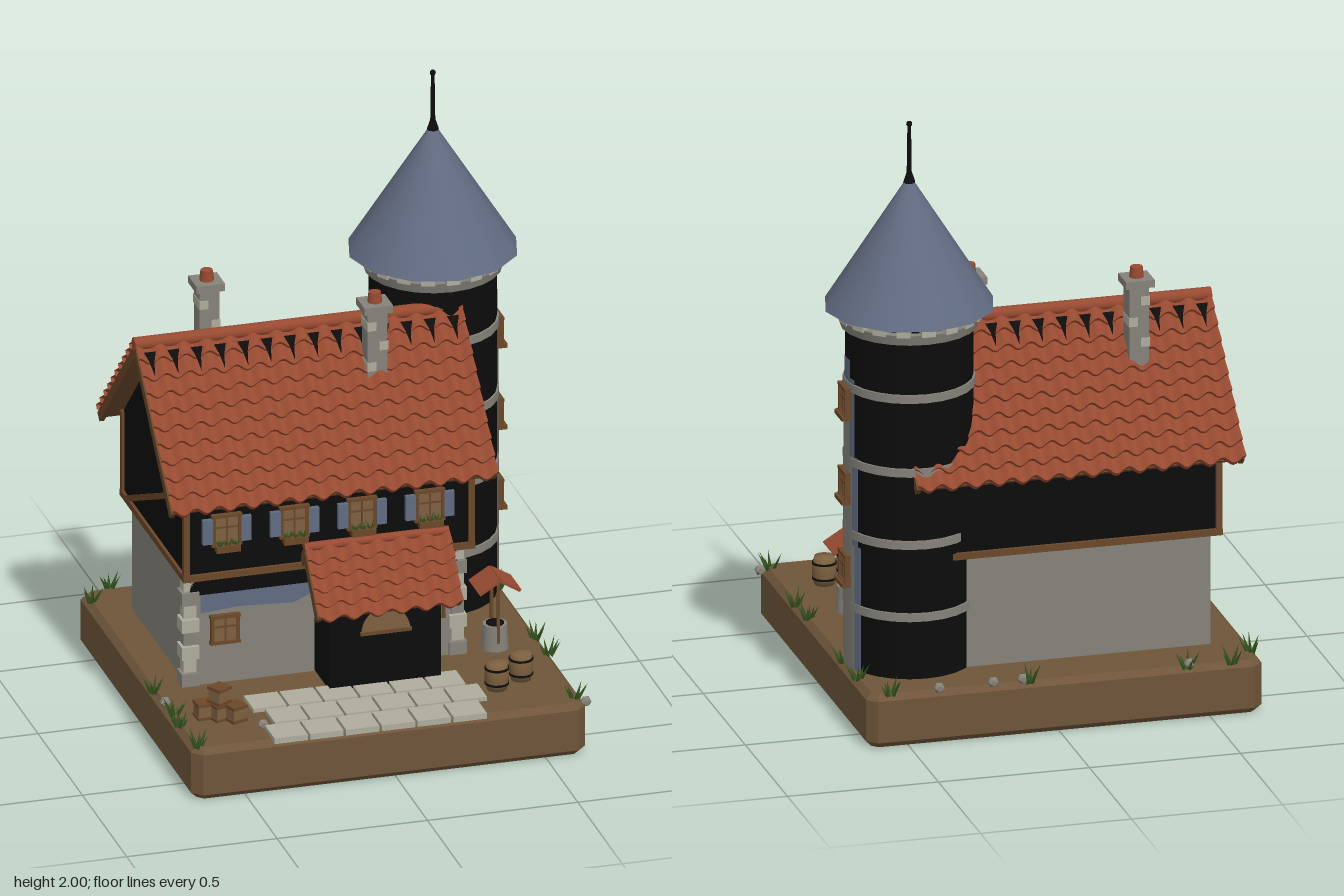
import * as THREE from 'three';

const mat = (name, color, side = THREE.FrontSide) =>
  Object.assign(new THREE.MeshStandardMaterial({ color, side }), { name });
const M = {
  black: mat('dark plaster', 0x0c0c0c),
  stone: mat('stone', 0x85827a, THREE.DoubleSide),
  pale: mat('pale stone', 0xaeac9c),
  red: mat('roof tile', 0x984a31, THREE.DoubleSide),
  slate: mat('slate', 0x616b81, THREE.DoubleSide),
  wood: mat('timber', 0x6a4729),
  tan: mat('light wood', 0x7d6040),
  earth: mat('earth', 0x6e553a),
  leaf: mat('leaf', 0x35551f, THREE.DoubleSide),
};

function add(parent, name, geo, material, x = 0, y = 0, z = 0) {
  const m = new THREE.Mesh(geo, material);
  m.name = name;
  m.position.set(x, y, z);
  parent.add(m);
  return m;
}
const box = (p, name, m, w, h, d, x, y, z) => add(p, name, new THREE.BoxGeometry(w, h, d), m, x, y, z);
const cyl = (p, name, m, r1, r2, h, x, y, z, n = 16) => add(p, name, new THREE.CylinderGeometry(r1, r2, h, n), m, x, y, z);
const shapeOf = pts => new THREE.Shape(pts.map(([x, y]) => new THREE.Vector2(x, y)));
const plate = (p, name, m, pts, x, y, z) => add(p, name, new THREE.ShapeGeometry(shapeOf(pts)), m, x, y, z);
function group(parent, name, x = 0, y = 0, z = 0) {
  const g = new THREE.Group();
  g.name = name;
  g.position.set(x, y, z);
  parent.add(g);
  return g;
}

// Wavy courses of tiles running down +z from the ridge, each lapping the next
function tileGeometry(width, length, cols, rows) {
  const pos = [], idx = [], n = cols * 8, step = length / rows;
  for (let r = 0; r < rows; r++) {
    const start = pos.length / 3;
    for (let line = 0; line < 4; line++)
      for (let i = 0; i <= n; i++) {
        const wave = Math.cos((i / 8) * Math.PI * 2);
        const z = line === 0 ? r * step : (r + 1) * step + 0.006 - 0.007 * wave;
        const y = 0.009 * wave + [0.008, 0.022, 0.022, 0.004][line];
        pos.push((i / n - 0.5) * width, y, z);
      }
    for (const a of [0, 2])
      for (let i = 0; i < n; i++) {
        const p = start + a * (n + 1) + i, q = p + n + 1;
        idx.push(p, q, p + 1, p + 1, q, q + 1);
      }
  }
  const g = new THREE.BufferGeometry();
  g.setAttribute('position', new THREE.Float32BufferAttribute(pos, 3));
  g.setIndex(idx);
  g.computeVertexNormals();
  return g;
}

function roofSlope(parent, width, length, cols, rows, angle, back) {
  const turn = group(parent, back ? 'backSlope' : 'frontSlope');
  turn.rotation.y = back ? Math.PI : 0;
  const s = group(turn, 'slope');
  s.rotation.x = angle;
  add(s, 'tiles', tileGeometry(width, length, cols, rows), M.red);
  box(s, 'roofBoards', M.wood, width - 0.02, 0.012, length - 0.01, 0, -0.012, length / 2);
  for (const e of [-1, 1]) box(s, 'bargeBoard', M.wood, 0.016, 0.032, length, e * (width / 2 - 0.008), -0.012, length / 2);
  return s;
}

// Cross-barred window facing +z
function windowUnit(parent, w, h, x, y, z) {
  const g = group(parent, 'window', x, y, z);
  box(g, 'pane', M.tan, w, h, 0.012, 0, 0, 0);
  for (const s of [-1, 1]) {
    box(g, 'jamb', M.wood, 0.01, h + 0.01, 0.024, s * w / 2, 0, 0);
    box(g, 'rail', M.wood, w + 0.015, 0.01, 0.026, 0, s * h / 2, 0);
  }
  box(g, 'mullion', M.wood, 0.006, h, 0.018, 0, 0, 0);
  box(g, 'transom', M.wood, w, 0.006, 0.018, 0, 0.01, 0);
  return g;
}

function tuft(parent, x, y, z, size, seed) {
  const g = group(parent, 'grassTuft', x, y, z);
  for (let i = 0; i < 6; i++) {
    const a = i * 2.4 + seed, h = size * (0.6 + 0.4 * Math.abs(Math.sin(seed * 3 + i * 1.7)));
    const blade = new THREE.ConeGeometry(size * 0.12, h, 3).translate(0, h / 2, 0);
    add(g, 'blade', blade, M.leaf, Math.cos(a) * size * 0.15, 0, Math.sin(a) * size * 0.15)
      .rotation.set(Math.sin(a) * 0.5, 0, -Math.cos(a) * 0.5);
  }
}

function buildGround(root) {
  const g = group(root, 'ground');
  const a = 0.615, b = 0.635;
  const slab = new THREE.ExtrudeGeometry(shapeOf([[-a, -b], [a, -b], [b, -a], [b, a], [a, b], [-a, b], [-b, a], [-b, -a]]),
    { depth: 0.14, bevelSize: 0.02, bevelThickness: 0.02, bevelSegments: 1 });
  add(g, 'baseSlab', slab.rotateX(-Math.PI / 2), M.earth, -0.02, 0.02, 0);
  for (let r = 0; r < 3; r++)
    for (let i = 0; i < 6; i++)
      box(g, 'pavingStone', M.pale, 0.111, 0.02, 0.109, -0.354 + i * 0.119 + (r === 1 ? 0.036 : 0), 0.184, 0.37 + r * 0.12);
  [[-0.57, -0.645], [-0.42, -0.65], [0.1, -0.645], [0.56, -0.64], [0.62, -0.47], [0.62, 0.12], [0.625, 0.25], [0.61, 0.6],
    [-0.655, -0.56], [-0.665, 0.17], [-0.65, 0.36], [-0.66, 0.45], [-0.65, 0.62], [0.62, -0.3]]
    .forEach(([x, z], i) => tuft(g, x, 0.175, z, 0.065, i));
  [[-0.43, -0.645], [0.12, -0.64], [0.22, -0.645], [0.4, -0.65], [-0.66, 0.28], [-0.41, 0.535], [0.64, 0.615]]
    .forEach(([x, z]) => add(g, 'pebble', new THREE.IcosahedronGeometry(0.019, 0), M.stone, x, x > 0.6 ? 0.17 : 0.188, z));
}

function buildHouse(root) {
  const g = group(root, 'house');
  // Ground floor with worn plaster patches
  box(g, 'stoneWalls', M.stone, 0.9, 0.4, 0.63, -0.1, 0.375, -0.15);
  box(g, 'frontPlaster', M.black, 0.89, 0.07, 0.008, -0.1, 0.53, 0.167);
  plate(g, 'frontUndercoat', M.slate, [[-0.51, 0.43], [-0.38, 0.44], [-0.2, 0.43], [-0.13, 0.46], [-0.13, 0.5], [-0.51, 0.5]], 0, 0, 0.168);
  const right = group(g, 'rightPatches', 0.352, 0, 0);
  right.rotation.y = Math.PI / 2;
  box(right, 'sidePlaster', M.black, 0.62, 0.05, 0.006, 0.15, 0.545, 0);
  plate(right, 'sideUndercoat', M.slate, [[-0.16, 0.18], [-0.1, 0.18], [-0.09, 0.33], [-0.03, 0.4], [0.02, 0.43], [0.03, 0.53], [-0.16, 0.53]], 0, 0, 0.002);
  for (const x of [-0.545, 0.345])
    for (let i = 0; i < 8; i++) {
      const w = i % 2 ? 0.042 : 0.058;
      box(g, 'cornerStone', i % 3 ? M.pale : M.stone, w, 0.044, w, x, 0.205 + i * 0.047, 0.15);
    }
  windowUnit(g, 0.085, 0.09, -0.43, 0.37, 0.172);
  windowUnit(g, 0.06, 0.09, 0.265, 0.37, 0.172);

  // Upper floor and gables in one prism
  const gable = shapeOf([[-0.2, 0.57], [0.5, 0.57], [0.5, 0.86], [0.15, 1.21], [-0.2, 0.86]]);
  add(g, 'upperWalls', new THREE.ExtrudeGeometry(gable, { depth: 0.95, bevelEnabled: false }).rotateY(Math.PI / 2), M.black, -0.568, 0, 0);
  for (const z of [0.2, -0.5]) {
    box(g, 'sillBeam', M.wood, 0.97, 0.022, 0.022, -0.093, 0.573, z);
    box(g, 'eaveBeam', M.wood, 0.97, 0.02, 0.02, -0.093, 0.85, z);
    for (const x of [-0.567, 0.381]) box(g, 'cornerPost', M.wood, 0.02, 0.29, 0.02, x, 0.715, z);
  }
  for (const x of [-0.567, 0.381]) {
    box(g, 'sideSill', M.wood, 0.022, 0.022, 0.7, x, 0.573, -0.15);
    box(g, 'brace', M.wood, 0.02, 0.02, 0.69, x, 0.717, -0.135).rotation.x = -Math.atan2(0.285, 0.63);
  }
  box(g, 'sideShutter', M.slate, 0.02, 0.09, 0.05, 0.388, 0.75, -0.09);
  for (let i = 0; i < 4; i++) {
    const w = windowUnit(g, 0.085, 0.1, -0.435 + i * 0.225, 0.732, 0.205);
    for (const s of [-1, 1]) box(w, 'shutter', M.slate, 0.034, 0.085, 0.016, s * 0.064, 0, 0.006);
    box(w, 'flowerBox', M.wood, 0.08, 0.022, 0.03, 0, -0.058, 0.018);
    for (const s of [-1, 0, 1]) tuft(w, s * 0.026, -0.05, 0.02, 0.032, i + s);
  }

  // Main roof, with gaps between the tiles below the ridge
  const roof = group(g, 'mainRoof', -0.093, 1.245, -0.15);
  for (const back of [false, true]) {
    const s = roofSlope(roof, 1.085, 0.585, 14, 10, Math.PI / 4, back);
    for (let i = 0; i < 14; i++)
      plate(s, 'tileGap', M.black, [[-0.02, 0.035], [0.02, 0.035], [0.008, 0], [0, -0.05], [-0.008, 0]], -0.504 + i * 0.0775, 0.026, 0.072)
        .rotation.x = -Math.PI / 2;
  }
  cyl(roof, 'ridgeCap', M.red, 0.022, 0.022, 1.09, 0, 0.006, 0, 12).rotation.z = Math.PI / 2;

  for (const [x, z, top, bottom] of [[-0.355, -0.285, 1.36, 1.0], [0.13, -0.035, 1.33, 1.08]]) {
    const c = group(g, 'chimney', x, 0, z);
    box(c, 'stack', M.stone, 0.066, top - bottom, 0.066, 0, (top + bottom) / 2, 0);
    box(c, 'cap', M.stone, 0.095, 0.025, 0.095, 0, top + 0.01, 0);
    cyl(c, 'pot', M.red, 0.02, 0.024, 0.04, 0, top + 0.038, 0, 10);
    for (let i = 0; i < 3; i++) box(c, 'paleBlock', M.pale, 0.03, 0.03, 0.07, i % 2 ? 0.02 : -0.02, top - 0.05 - i * 0.07, 0);
  }

  // Entrance porch
  const p = group(g, 'porch', 0.055, 0, 0);
  box(p, 'porchWalls', M.black, 0.37, 0.32, 0.18, 0, 0.345, 0.25);
  const side = group(p, 'porchPatch', 0.187, 0, 0);
  side.rotation.y = Math.PI / 2;
  plate(side, 'undercoat', M.slate, [[-0.28, 0.18], [-0.17, 0.18], [-0.17, 0.4], [-0.26, 0.37]], 0, 0, 0);
  const fan = new THREE.CylinderGeometry(0.08, 0.08, 0.008, 20, 1, false, Math.PI / 2, Math.PI);
  add(p, 'doorArch', fan.rotateX(Math.PI / 2), M.tan, 0, 0.375, 0.344);
  box(p, 'archSill', M.wood, 0.17, 0.012, 0.014, 0, 0.373, 0.344);
  const porchRoof = group(p, 'porchRoof', 0, 0.645, 0.235);
  roofSlope(porchRoof, 0.48, 0.24, 6, 5, 0.88, false);
  roofSlope(porchRoof, 0.48, 0.08, 6, 2, 0.88, true);
  cyl(porchRoof, 'porchRidge', M.red, 0.015, 0.015, 0.48, 0, 0.004, 0, 10).rotation.z = Math.PI / 2;
}

function buildTower(root) {
  const g = group(root, 'tower', 0.41, 0, -0.33);
  cyl(g, 'towerWall', M.black, 0.205, 0.205, 1.16, 0, 0.75, 0, 24);
  const strip = (name, m, r, y0, y1, half) => add(g, name,
    new THREE.CylinderGeometry(r, r, y1 - y0, 8, 1, true, Math.PI / 2 - half, half * 2), m, 0, (y0 + y1) / 2, 0);
  [[0.18, 0.6, 0.47], [0.6, 0.9, 0.39], [0.9, 1.16, 0.31], [1.16, 1.22, 0.16]].forEach(([a, b, h]) => strip('undercoat', M.slate, 0.208, a, b, h));
  [[0.18, 0.6, 0.33], [0.6, 0.9, 0.26], [0.9, 1.05, 0.18]].forEach(([a, b, h]) => strip('bareStone', M.stone, 0.211, a, b, h));
  for (const y of [0.39, 0.635, 0.88, 1.13]) cyl(g, 'stoneBand', M.stone, 0.212, 0.212, 0.028, 0, y, 0, 24);
  const side = group(g, 'towerWindows');
  side.rotation.y = Math.PI / 2;
  for (const y of [0.51, 0.79, 1.075]) {
    const w = windowUnit(side, 0.075, 0.09, 0, y, 0.212);
    box(w, 'sill', M.wood, 0.09, 0.014, 0.035, 0, -0.05, 0.006);
  }
  cyl(g, 'corniceRing', M.stone, 0.232, 0.222, 0.035, 0, 1.335, 0, 24);
  cyl(g, 'corniceCore', M.black, 0.205, 0.205, 0.05, 0, 1.36, 0, 24);
  for (let i = 0; i < 18; i++) {
    const a = (i / 18) * Math.PI * 2;
    box(g, 'corniceBlock', M.pale, 0.045, 0.034, 0.04, Math.sin(a) * 0.215, 1.364, Math.cos(a) * 0.215).rotation.y = a;
  }
  add(g, 'coneRoof', new THREE.ConeGeometry(0.277, 0.44, 12, 4), M.slate, 0, 1.6, 0);
  cyl(g, 'spire', M.black, 0.006, 0.009, 0.2, 0, 1.89, 0, 8);
  cyl(g, 'spireFoot', M.black, 0.01, 0.02, 0.03, 0, 1.808, 0, 8);
  add(g, 'finial', new THREE.SphereGeometry(0.01, 8, 6), M.black, 0, 1.99, 0);
}

function buildYard(root) {
  // Well with a small gabled roof
  const w = group(root, 'well', 0.475, 0, 0.15);
  cyl(w, 'wellWall', M.stone, 0.04, 0.045, 0.09, 0, 0.22, 0, 12);
  cyl(w, 'wellWater', M.black, 0.03, 0.03, 0.004, 0, 0.266, 0, 12);
  for (const s of [-1, 1]) {
    box(w, 'wellPost', M.wood, 0.01, 0.2, 0.01, 0, 0.31, s * 0.038);
    box(w, 'wellRoof', M.red, 0.08, 0.01, 0.12, s * 0.034, 0.415, 0).rotation.z = -s * 0.55;
  }
  // Barrels and crates
  const profile = [[0, 0], [0.032, 0], [0.039, 0.03], [0.039, 0.065], [0.032, 0.095], [0, 0.095]].map(([x, y]) => new THREE.Vector2(x, y));
  for (const [x, z] of [[0.39, 0.46], [0.485, 0.41]]) {
    const b = group(root, 'barrel', x, 0.18, z);
    add(b, 'staves', new THREE.LatheGeometry(profile, 14), M.tan);
    for (const y of [0.022, 0.073]) cyl(b, 'hoop', M.black, 0.0395, 0.0395, 0.007, 0, y, 0, 14);
  }
  for (const [x, y, z, a] of [[-0.57, 0.207, 0.41, 0.05], [-0.525, 0.265, 0.435, 0.5], [-0.525, 0.207, 0.435, 0.3], [-0.48, 0.21, 0.465, 0.35]]) {
    const c = group(root, 'crate', x, y, z);
    c.rotation.y = a;
    box(c, 'crateBody', M.tan, 0.05, 0.052, 0.05, 0, 0, 0);
    for (const s of [-1, 1]) box(c, 'crateSlat', M.wood, 0.056, 0.01, 0.056, 0, s * 0.023, 0);
  }
}

export function createModel() {
  const root = new THREE.Group();
  root.name = 'towerCottage';
  buildGround(root);
  buildHouse(root);
  buildTower(root);
  buildYard(root);
  return root;
}
